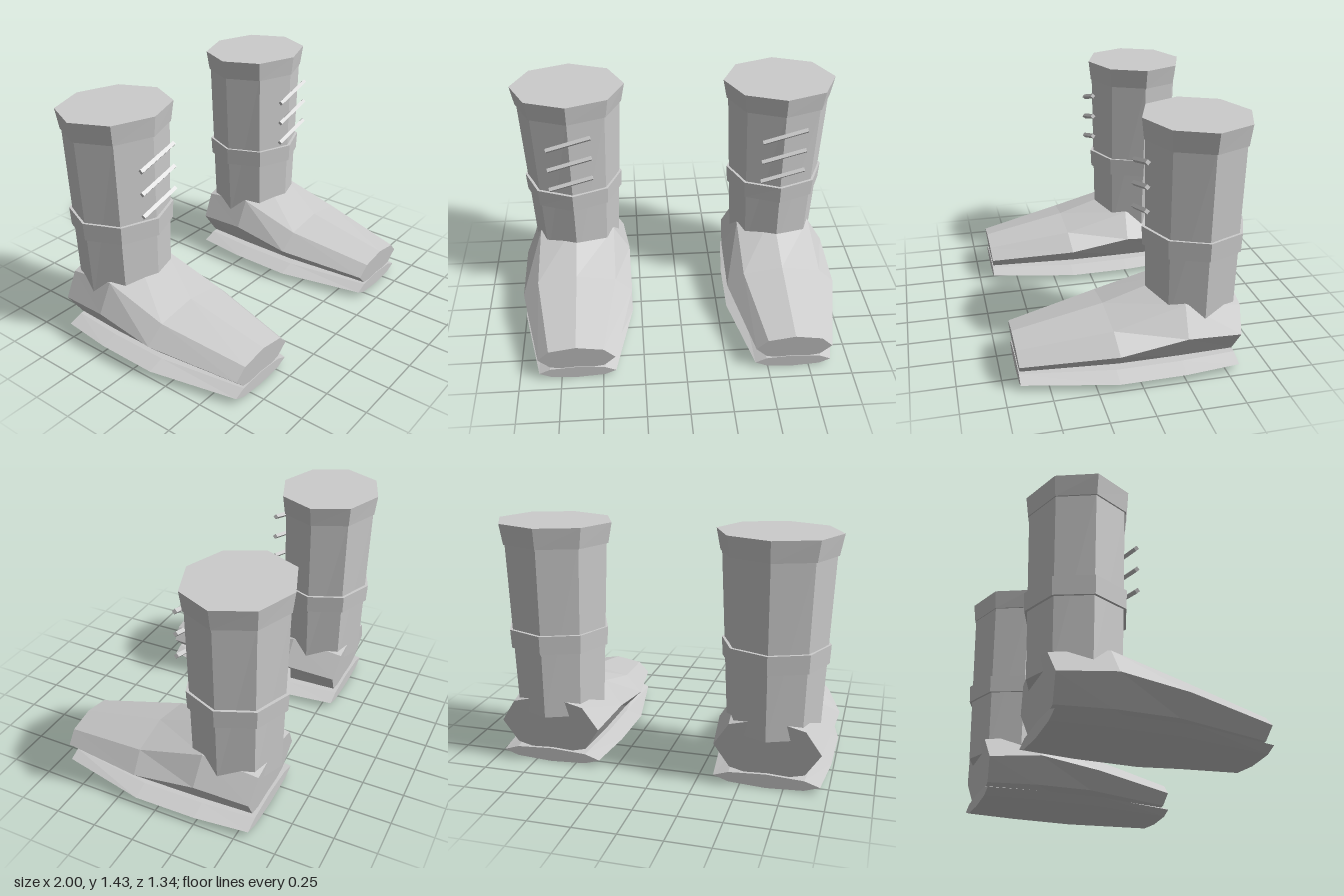
import * as THREE from 'three';

const SIDES = 8;
const material = new THREE.MeshStandardMaterial({ color: 0xcccccc, flatShading: true });

// Skin a list of rings (counter-clockwise seen from the last ring's end) and cap both ends.
function loft(rings) {
  const pos = [];
  const tri = (a, b, c) => pos.push(...a, ...b, ...c);
  for (let r = 0; r < rings.length - 1; r++) {
    const a = rings[r], b = rings[r + 1];
    for (let i = 0; i < SIDES; i++) {
      const j = (i + 1) % SIDES;
      tri(a[i], a[j], b[j]);
      tri(a[i], b[j], b[i]);
    }
  }
  const first = rings[0], last = rings[rings.length - 1];
  for (let i = 1; i < SIDES - 1; i++) {
    tri(first[0], first[i + 1], first[i]);
    tri(last[0], last[i], last[i + 1]);
  }
  const geo = new THREE.BufferGeometry();
  geo.setAttribute('position', new THREE.Float32BufferAttribute(pos, 3));
  geo.computeVertexNormals();
  return geo;
}

const ring = (point) => Array.from({ length: SIDES }, (_, i) => {
  const a = (i / SIDES) * Math.PI * 2;
  return point(Math.cos(a), Math.sin(a));
});

// Upright eight-sided section: height, half width, half depth
const LEG_Z = -0.365;
const legRing = ([y, rx, rz]) => ring((c, s) => [rx * c, y, LEG_Z - rz * s]);

// Section across the foot: z, centre height, half width, half height, lean
const footRing = ([z, cy, rx, ry, lean = 0]) =>
  ring((c, s) => [rx * c, cy + ry * s, z + lean * ry * s]);

function part(name, geometry) {
  const mesh = new THREE.Mesh(geometry, material);
  mesh.name = name;
  return mesh;
}

function createBoot(name) {
  const boot = new THREE.Group();
  boot.name = name;

  // Flat sole with knife-like sides
  boot.add(part('sole', loft([
    [-0.57, 0.042, 0.305, 0.042],
    [-0.25, 0.042, 0.34, 0.042],
    [0.13, 0.042, 0.345, 0.042],
    [0.66, 0.042, 0.23, 0.042],
  ].map(footRing))));

  // Foot, narrowing and dropping towards the toe
  boot.add(part('foot', loft([
    [-0.57, 0.237, 0.305, 0.195, -0.12],
    [-0.25, 0.27, 0.34, 0.226, -0.05],
    [0.13, 0.215, 0.345, 0.147, 0.15],
    [0.663, 0.155, 0.23, 0.096, 0.1],
  ].map(footRing))));

  // Leg with strap and cuff
  boot.add(part('shaft', loft([[0.31, 0.272, 0.267], [1.33, 0.316, 0.286]].map(legRing))));
  boot.add(part('ankleStrap', loft([[0.705, 0.303, 0.291], [0.815, 0.309, 0.296]].map(legRing))));
  boot.add(part('cuff', loft([[1.315, 0.325, 0.292], [1.435, 0.348, 0.306]].map(legRing))));

  // Three slanted laces
  const laces = new THREE.Group();
  laces.name = 'laces';
  const laceGeometry = new THREE.CylinderGeometry(0.016, 0.016, 0.28, 4).rotateZ(Math.PI / 2);
  for (let i = 0; i < 3; i++) {
    const lace = part('lace', laceGeometry);
    lace.position.set(0, 0.921 + 0.138 * i, -0.058);
    lace.rotation.z = 0.28;
    laces.add(lace);
  }
  boot.add(laces);
  return boot;
}

export function createModel() {
  const model = new THREE.Group();
  model.name = 'bootPair';
  for (const side of [1, -1]) {
    const boot = createBoot(side > 0 ? 'leftBoot' : 'rightBoot');
    boot.position.x = side * 0.652;
    model.add(boot);
  }
  return model;
}
